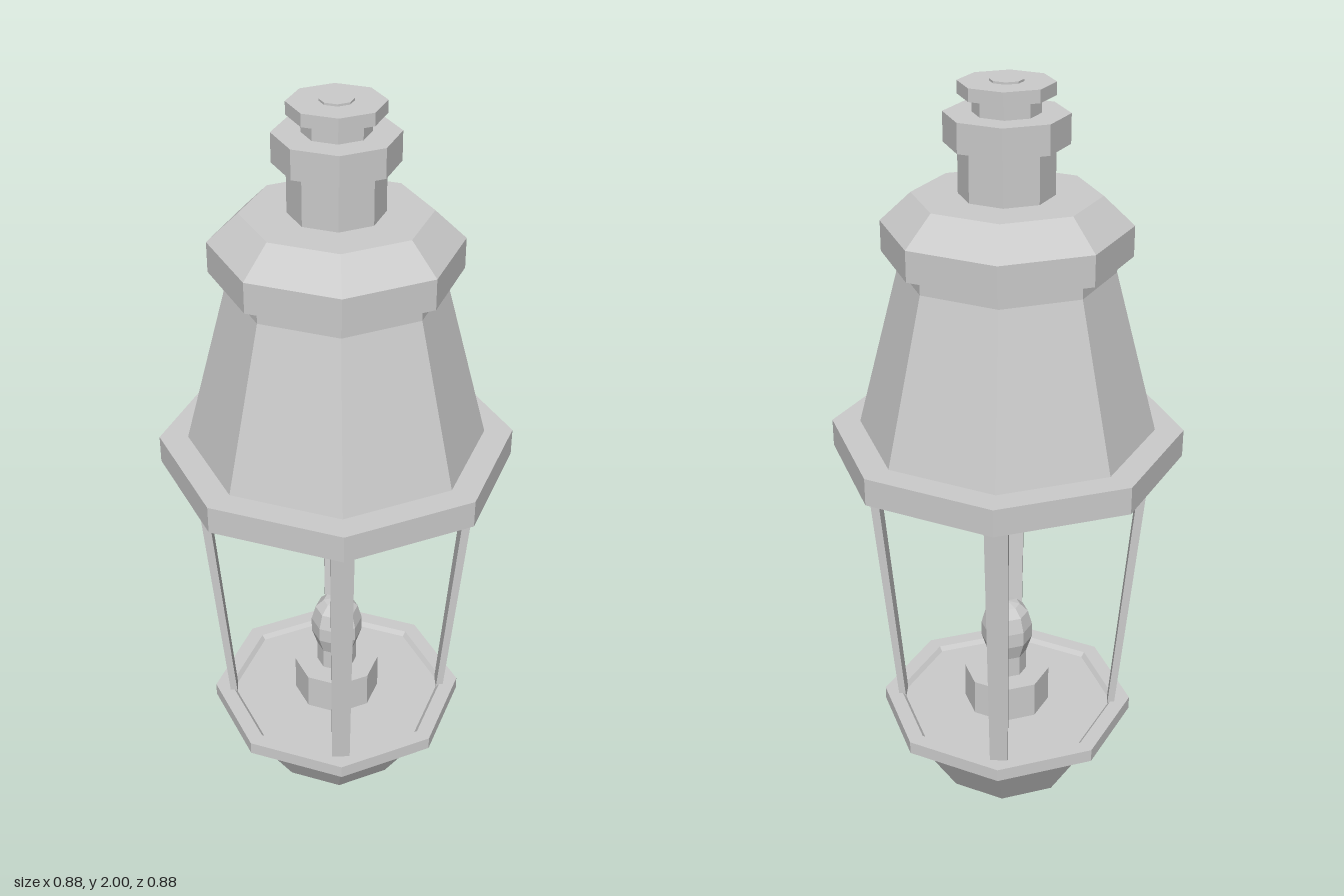
import * as THREE from 'three';

const material = new THREE.MeshStandardMaterial({ color: 0xcccccc, flatShading: true });

// Octagonal turned part from a [radius, height] profile, outer side listed upwards
function turned(name, profile) {
  const points = profile.map(([r, y]) => new THREE.Vector2(r, y));
  const mesh = new THREE.Mesh(new THREE.LatheGeometry(points, 8), material);
  mesh.name = name;
  return mesh;
}

// Closed octagonal drum
function drum(name, radius, y0, y1) {
  return turned(name, [[0, y0], [radius, y0], [radius, y1], [0, y1]]);
}

// Post that leans outwards and widens towards the roof
function post(angle) {
  const geometry = new THREE.BoxGeometry(1, 1, 1);
  const p = geometry.attributes.position;
  for (let i = 0; i < p.count; i++) {
    const t = p.getY(i) + 0.5;
    const width = THREE.MathUtils.lerp(0.046, 0.058, t);
    const depth = THREE.MathUtils.lerp(0.018, 0.023, t);
    const radius = THREE.MathUtils.lerp(0.286, 0.355, t);
    p.setXYZ(i, p.getX(i) * width, THREE.MathUtils.lerp(0.305, 1.09, t), radius + p.getZ(i) * depth);
  }
  geometry.computeVertexNormals();
  const mesh = new THREE.Mesh(geometry, material);
  mesh.name = 'post';
  mesh.rotation.y = angle;
  return mesh;
}

export function createModel() {
  const lantern = new THREE.Group();
  lantern.name = 'lantern';

  // Base: pointed finial, bowl and rim with a shallow tray
  lantern.add(
    turned('bottomFinial', [[0, 0], [0.025, 0.012], [0.07, 0.045], [0.125, 0.1], [0, 0.1]]),
    turned('bowl', [[0, 0.1], [0.185, 0.1], [0.3, 0.285]]),
    turned('baseRim', [[0.3, 0.285], [0.337, 0.285], [0.337, 0.32], [0.295, 0.32], [0.285, 0.308], [0, 0.308]]),
  );

  // Lamp
  lantern.add(
    drum('lampSocket', 0.114, 0.305, 0.408),
    turned('bulb', [[0.053, 0.4], [0.053, 0.465], [0.068, 0.51], [0.068, 0.55], [0.057, 0.59], [0.035, 0.612], [0, 0.62]]),
  );

  // Four posts on the diagonal corners
  for (let i = 0; i < 4; i++) lantern.add(post(Math.PI / 4 + i * Math.PI / 2));

  // Roof: eave with a recessed ceiling, tapering hood and collar
  lantern.add(
    turned('eave', [[0, 1.085], [0.365, 1.085], [0.375, 1.07], [0.441, 1.07], [0.441, 1.14], [0.36, 1.14]]),
    turned('hood', [[0.37, 1.14], [0.262, 1.55], [0.262, 1.595]]),
    turned('collar', [[0.25, 1.59], [0.3, 1.59], [0.3, 1.665], [0.225, 1.735], [0, 1.735]]),
  );

  // Chimney stack
  lantern.add(
    drum('chimney', 0.114, 1.73, 1.86),
    drum('chimneyRing', 0.147, 1.855, 1.925),
    drum('chimneyNeck', 0.08, 1.92, 1.97),
    drum('chimneyCap', 0.113, 1.965, 1.995),
    drum('capButton', 0.04, 1.99, 2),
  );
  return lantern;
}
